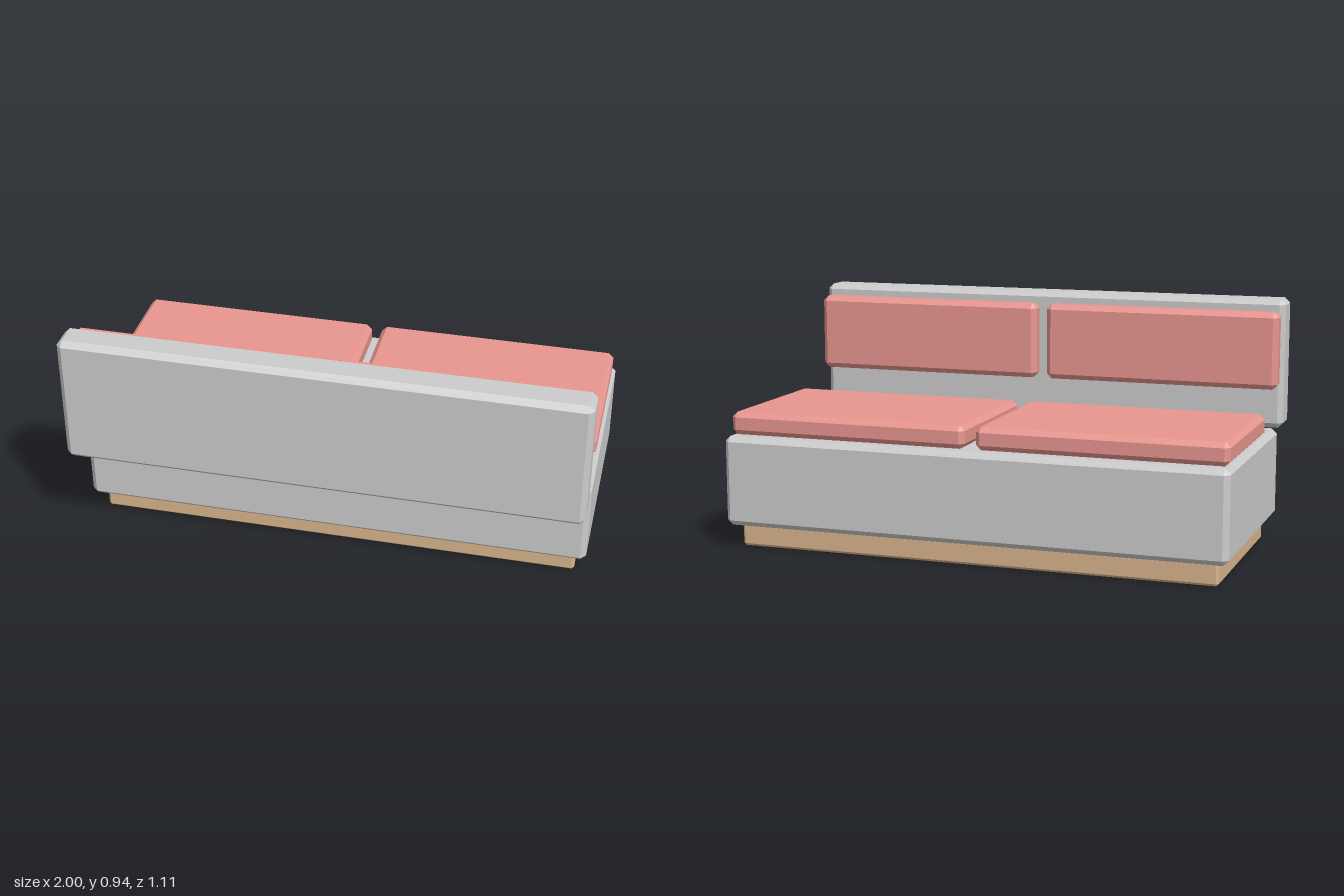
import * as THREE from 'three';
import { ConvexGeometry } from 'three/addons/geometries/ConvexGeometry.js';

const grey = new THREE.MeshStandardMaterial({ color: 0xcccccc, flatShading: true });
const fabric = new THREE.MeshStandardMaterial({ color: 0xe8958f, flatShading: true });
const wood = new THREE.MeshStandardMaterial({ color: 0xd9b48c, flatShading: true });

// Box with every edge bevelled flat: three points around each corner.
function bevelledBox(w, h, d, bevel) {
  const points = [];
  for (const sx of [-1, 1]) for (const sy of [-1, 1]) for (const sz of [-1, 1]) {
    for (let axis = 0; axis < 3; axis++) {
      const inset = [bevel, bevel, bevel];
      inset[axis] = 0;
      points.push(new THREE.Vector3(
        sx * (w / 2 - inset[0]), sy * (h / 2 - inset[1]), sz * (d / 2 - inset[2])));
    }
  }
  return new ConvexGeometry(points);
}

// Bevelled block given by its extent along each axis.
function block(name, material, [x0, x1], [y0, y1], [z0, z1], bevel) {
  const mesh = new THREE.Mesh(bevelledBox(x1 - x0, y1 - y0, z1 - z0, bevel), material);
  mesh.position.set((x0 + x1) / 2, (y0 + y1) / 2, (z0 + z1) / 2);
  mesh.name = name;
  return mesh;
}

export function createModel() {
  const sofa = new THREE.Group();
  sofa.name = 'sofa';

  // Plinth, seat body and the separate backrest panel
  sofa.add(
    block('plinth', wood, [-0.955, 0.955], [0, 0.09], [-0.497, 0.281], 0.01),
    block('seatBody', grey, [-1, 1], [0.09, 0.444], [-0.554, 0.338], 0.021),
    block('backrest', grey, [-1, 1], [0.424, 0.945], [0.423, 0.555], 0.021));

  // A seat and a back cushion on each side
  for (const [side, x] of [['left', [0.022, 0.989]], ['right', [-0.989, -0.022]]]) {
    sofa.add(
      block(side + 'SeatCushion', fabric, x, [0.444, 0.533], [-0.508, 0.137], 0.02),
      block(side + 'BackCushion', fabric, x, [0.591, 0.901], [0.344, 0.423], 0.021));
  }
  return sofa;
}
